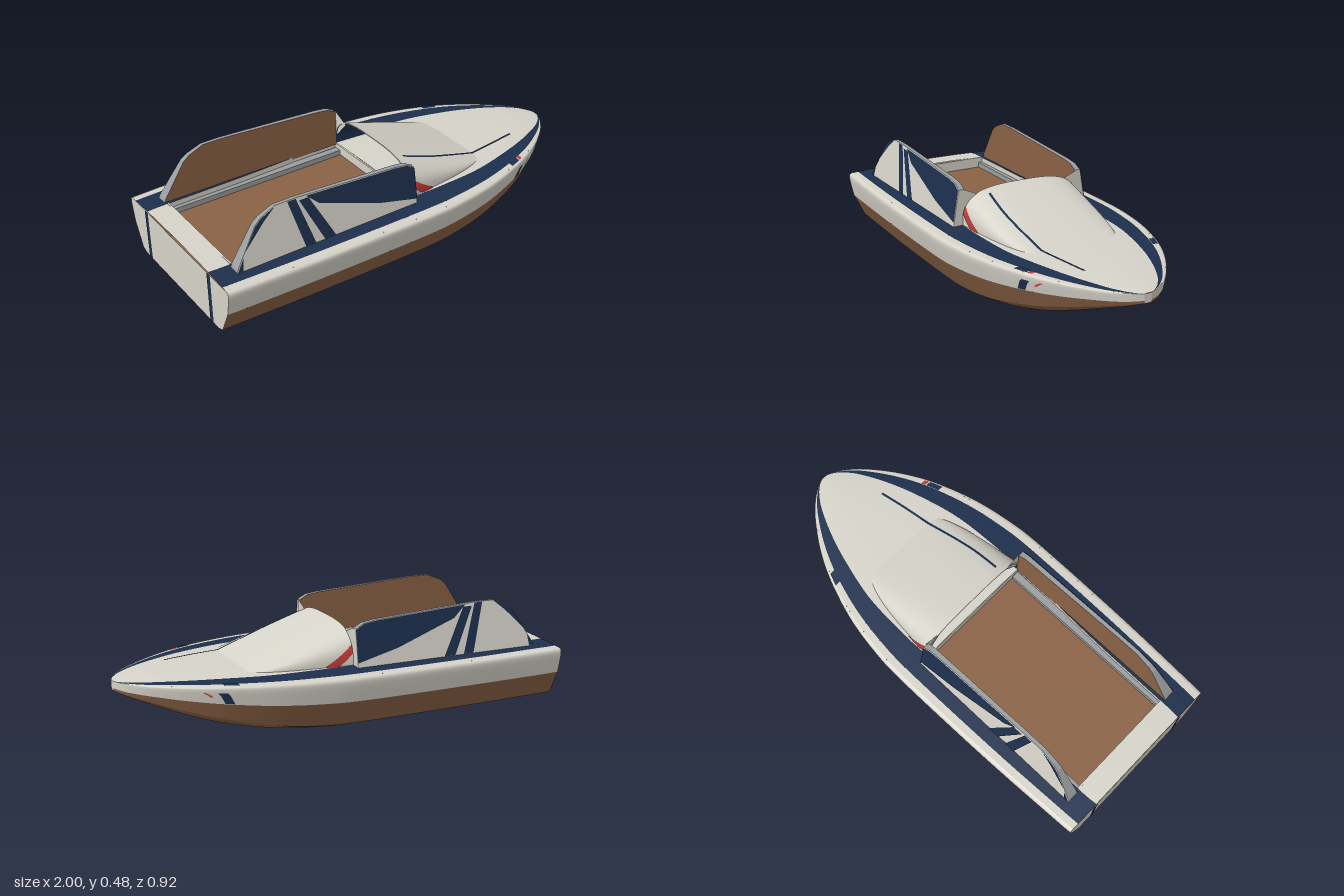
import * as THREE from 'three';

const paint = (name, color) => {
  const m = new THREE.MeshStandardMaterial({ color, side: THREE.DoubleSide });
  m.name = name;
  return m;
};
const { lerp, smoothstep } = THREE.MathUtils;

// Hull stations from stern to bow: x, half width, keel y, waterline y, deck edge y, inner edge of deck band
const STATIONS = [
  [-1, .435, 0, .125, .243, .27], [-.9, .44, 0, .125, .243, .275], [-.5, .455, 0, .128, .243, .28],
  [0, .46, 0, .13, .243, .30], [.2, .448, .005, .135, .243, .30], [.4, .412, .022, .145, .242, .285],
  [.6, .345, .058, .16, .24, .238], [.75, .268, .1, .173, .236, .188], [.88, .175, .143, .185, .231, .128],
  [.95, .105, .165, .19, .228, .08], [.985, .052, .177, .193, .226, .042], [1, .018, .182, .195, .225, .016],
];
const N = STATIONS.length - 1;
const spline = (a, b, c) => new THREE.CatmullRomCurve3(
  STATIONS.map(s => new THREE.Vector3(s[a], s[b], s[c])), false, 'catmullrom', .5);
const curveA = spline(0, 1, 2), curveB = spline(3, 4, 5);
// k is the station index, fractions allowed
function station(k) {
  const a = curveA.getPoint(k / N), b = curveB.getPoint(k / N);
  return { x: a.x, w: a.y, keel: a.z, line: b.x, top: b.y, inner: b.z };
}
function indexAt(x) {
  let lo = 0, hi = N;
  for (let i = 0; i < 24; i++) {
    const mid = (lo + hi) / 2;
    if (station(mid).x < x) lo = mid; else hi = mid;
  }
  return (lo + hi) / 2;
}
const deckY = (s, z) => s.top + .012 * Math.min(1, s.w / .2) * (1 - (z / (.965 * s.w)) ** 2);

// Bottom corners [z, y]: hard chine aft, rounder toward the bow
function chine(s) {
  const b = smoothstep(s.x, .1, .8), y = f => lerp(s.keel, s.line, f);
  return [[.755 * s.w, s.keel], [lerp(.828, .87, b) * s.w, y(lerp(.1, .3, b))], [.955 * s.w, s.line]];
}
// Topside profile from waterline (v = 0) to rounded gunwale (v = 1)
const SIDE = [[.955, 0], [.985, .5], [1, .8], [.995, .95], [.965, 1]];
function topside(s, v) {
  const i = Math.min(3, Math.floor(v * 4)), f = v * 4 - i;
  return [s.w * lerp(SIDE[i][0], SIDE[i + 1][0], f),
    lerp(s.line, s.top, lerp(SIDE[i][1], SIDE[i + 1][1], f))];
}

// Cowl: rounded-square sections shrinking toward the bow
const POW = 3.2, COWL = .5;
const cowlH = x => .175 * (1 - x / COWL);
const cowlW = x => .3 - .04 * (x / COWL) - .06 * (x / COWL) ** 4;
const round = f => Math.max(0, 1 - Math.abs(f) ** POW) ** (1 / POW);
const cowlY = (x, z) => .24 + (x < COWL ? cowlH(x) * round(Math.min(1, z / cowlW(x))) : 0);
const arch = (x, v, k) => {
  const a = v * Math.PI, c = Math.cos(a), e = 2 / POW;
  return [x, .24 + k * cowlH(x) * Math.max(0, Math.sin(a)) ** e, k * Math.sign(c) * cowlW(x) * Math.abs(c) ** e];
};

// Surface from a rule fn(u, v) -> [x, y, z]
function grid(fn, nu, nv) {
  const pos = [], idx = [];
  for (let i = 0; i <= nu; i++) for (let j = 0; j <= nv; j++) pos.push(...fn(i / nu, j / nv));
  for (let i = 0; i < nu; i++) for (let j = 0; j < nv; j++) {
    const a = i * (nv + 1) + j, b = a + nv + 1;
    idx.push(a, b, a + 1, b, b + 1, a + 1);
  }
  const g = new THREE.BufferGeometry();
  g.setAttribute('position', new THREE.Float32BufferAttribute(pos, 3));
  g.setIndex(idx);
  g.computeVertexNormals();
  return g;
}
const flat = pts => new THREE.ShapeGeometry(new THREE.Shape(pts.map(p => new THREE.Vector2(...p))));
// Flat plate across the boat, points are (z, y)
const crossPlate = (pts, x) => flat(pts).rotateY(-Math.PI / 2).translate(x, 0, 0);

export function createModel() {
  const model = new THREE.Group();
  const white = paint('white', 0xd6d3c9), navy = paint('navy', 0x1d2f4d);
  const brown = paint('brown', 0x8a6245), red = paint('red', 0xc23a38), grey = paint('grey', 0x9a9ea0);
  const add = (name, geo, mat) => {
    const m = new THREE.Mesh(geo, mat);
    m.name = name;
    model.add(m);
    return m;
  };
  const loft = (k0, k1, rule, nu = 60, nv = 1) =>
    grid((u, v) => { const s = station(lerp(k0, k1, u)); return [s.x, ...rule(s, v)]; }, nu, nv);

  // Bottom and stern
  add('hullBottom', loft(0, N, (s, v) => [s.keel, lerp(-1, 1, v) * chine(s)[0][0]]), brown);
  const outline = k => {
    const s = station(k), half = chine(s);
    for (let i = 1; i <= 4; i++) half.push(topside(s, i / 4));
    return [...half, ...half.map(([z, y]) => [-z, y]).reverse()];
  };
  add('transom', crossPlate(outline(0), -1), white);
  add('bowTip', crossPlate(outline(N), 1), white);

  // Deck
  const innerDeck = (s, v) => { const z = lerp(-1, 1, v) * s.inner; return [deckY(s, z), z]; };
  add('aftDeck', loft(0, 1, innerDeck, 4, 12), white);
  add('foredeck', loft(3, N, innerDeck, 60, 16), white);

  // Cockpit
  add('cockpitFloor', new THREE.BoxGeometry(.9, .01, .58), brown).position.set(-.45, .195, 0);
  add('cockpitRearWall', new THREE.BoxGeometry(.008, .06, .55), white).position.set(-.896, .222, 0);
  add('cockpitFrontWall', new THREE.BoxGeometry(.008, .05, .6), white).position.set(.004, .22, 0);

  // Open cowl with a dark lining and a pale rim
  add('cowl', grid((u, v) => arch(u * COWL, v, 1), 30, 48), white);
  add('cowlLining', grid((u, v) => arch(u * COWL, v, .97), 30, 48), navy);
  add('cowlRim', grid((u, v) => arch(0, v, lerp(.97, 1, u)), 1, 48), white);

  // Curved accent line over cowl and foredeck
  const line = new THREE.SplineCurve([[.04, .185], [.2, .19], [.4, .173], [.58, .15], [.73, .125]]
    .map(p => new THREE.Vector2(...p)));
  add('accentLine', grid((u, v) => {
    const p = line.getPoint(u), z = p.y + (v - .5) * .011;
    return [p.x, Math.max(cowlY(p.x, z), deckY(station(indexAt(p.x)), z)) + .004, z];
  }, 50, 2), navy);

  const fin = [[-.91, .24], [-.9, .265], [-.8, .42], [-.77, .445], [-.7, .475], [-.6, .475],
    [-.1, .445], [-.04, .437], [0, .415], [0, .24]];
  const finOut = y => .346 - .17 * (y - .25), finIn = () => .29;
  const finPaint = [
    [[-.64, .473], [-.6, .473], [-.53, .25], [-.58, .25]],
    [[-.585, .46], [-.54, .46], [-.43, .25], [-.485, .25]],
    [[-.55, .469], [-.1, .443], [-.04, .435], [0, .413], [0, .268], [-.2, .315], [-.49, .415]],
    [[-.86, .327], [-.8, .418], [-.77, .443], [-.7, .473], [-.76, .425]],
    [[-.905, .25], [-.87, .308], [-.88, .25]],
  ];

  for (const s of [1, -1]) {
    // Hull sides
    for (const [i, name] of ['bilge', 'lowerSide'].entries()) {
      add(name, loft(0, N, (p, v) => {
        const c = chine(p);
        return [lerp(c[i][1], c[i + 1][1], v), s * lerp(c[i][0], c[i + 1][0], v)];
      }), brown);
    }
    add('topside', loft(0, N, (p, v) => { const [z, y] = topside(p, v); return [y, s * z]; }, 66, 8), white);

    // Deck edge and coloured band
    const strip = (a, b, lift = 0) => (p, v) => { const z = lerp(a(p), b(p), v); return [deckY(p, z) + lift, s * z]; };
    const band = p => .89 * p.w, edge = p => .965 * p.w;
    add('deckEdge', loft(0, N, strip(band, edge)), white);
    add('deckBand', loft(0, N, strip(p => p.inner, band), 66, 4), navy);
    add('deckFlash', loft(indexAt(.55), indexAt(.61), strip(band, edge, .003), 4), navy);
    if (s > 0) add('deckMark', loft(indexAt(.615), indexAt(.635), strip(band, edge, .003), 4), red);

    // Slanted marks on the topside
    const slash = (x, w, v0, v1) => grid((u, v) => {
      const p = station(indexAt(x + u * w + v * .03)), [z, y] = topside(p, lerp(v0, v1, v));
      return [p.x, y, s * (z + .003)];
    }, 3, 6);
    add('sideSlash', slash(.57, .038, .02, .38), navy);
    add('sideMark', slash(.655, .012, .2, .4), red);

    // Transom stripe
    add('transomStripe', crossPlate([[.262, .003], [.29, .003], [.29, .246], [.262, .246]].map(([z, y]) => [s * z, y]), -1.003), navy);

    // Cockpit sides
    add('cockpitWall', loft(1, 3, (p, v) => [lerp(.2, deckY(p, p.inner), v), s * p.inner], 16), white);
    add('cockpitLedge', new THREE.BoxGeometry(.89, .025, .035), grey).position.set(-.448, .2125, s * .2725);

    // Side fin: sloped outside, upright inside, closed by a rim
    const panel = (pts, zAt) => {
      const g = flat(pts), p = g.attributes.position;
      for (let i = 0; i < p.count; i++) p.setZ(i, s * zAt(p.getY(i)));
      g.computeVertexNormals();
      return g;
    };
    add('finOutside', panel(fin, finOut), white);
    add('finInside', panel(fin, finIn), brown);
    for (let i = 0; i < fin.length - 1; i++) {
      add('finRim', grid((u, v) => {
        const x = lerp(fin[i][0], fin[i + 1][0], u), y = lerp(fin[i][1], fin[i + 1][1], u);
        return [x, y, s * lerp(finIn(y), finOut(y), v)];
      }, 1, 1), i === fin.length - 2 ? white : grey);
    }
    for (const pts of finPaint) add('finPaint', panel(pts, y => finOut(y) + .003), navy);
    add('finBracket', crossPlate([[.21, .38], [.3, .418], [.31, .3], [.28, .3]].map(([z, y]) => [s * z, y]), .003), white);

    // Red flash on the cowl flank
    add('cowlFlash', grid((u, v) => {
      const x = .004 + u * .126, f = lerp(lerp(.36, .06, Math.min(1, u * 2)), lerp(.58, .12, u), v);
      return [x, .24 + cowlH(x) * f, s * (cowlW(x) * round(f) + .004)];
    }, 10, 4), red);
  }
  return model;
}
